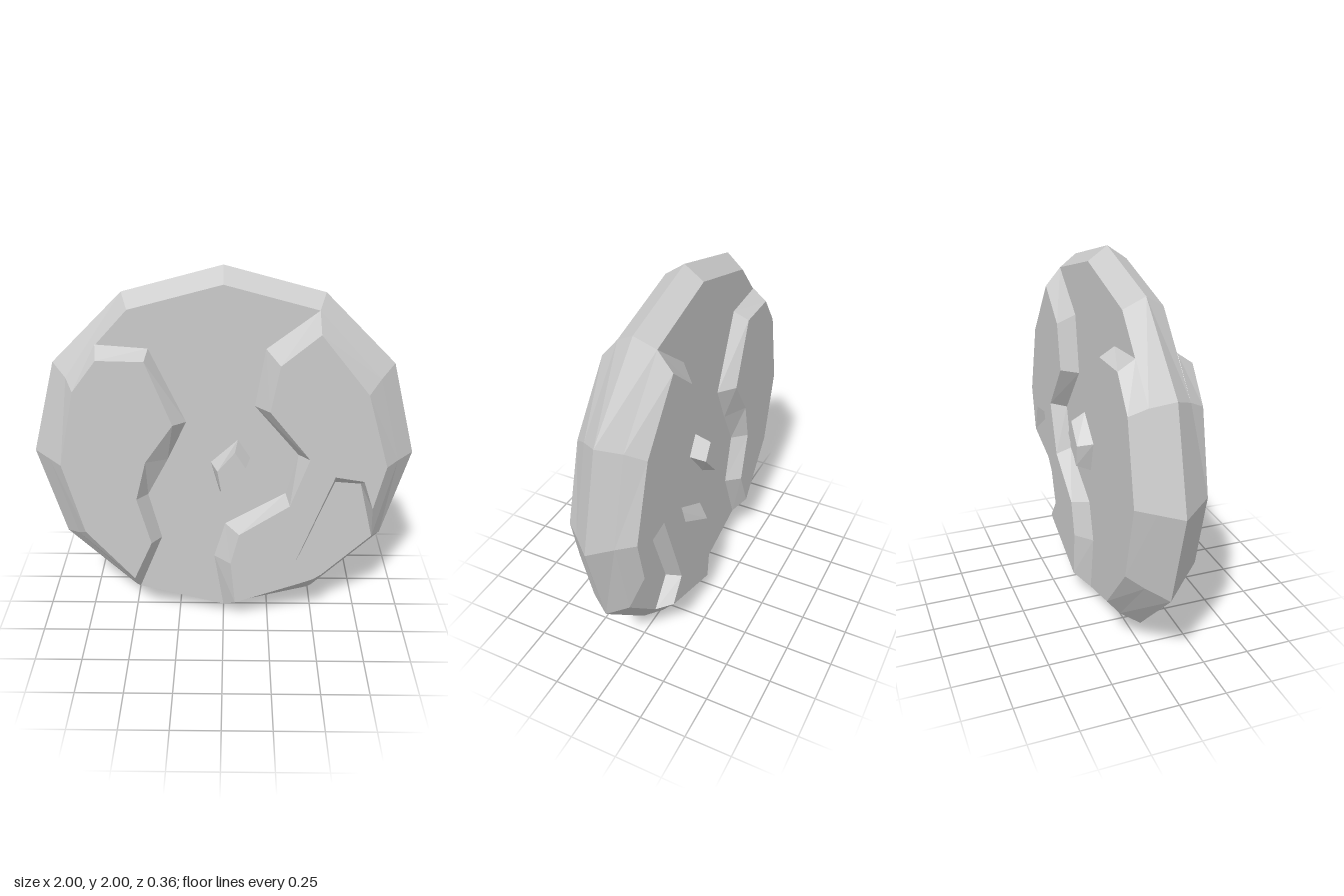
import * as THREE from 'three';

const SEA = 0.1, LAND = 0.18;
const material = new THREE.MeshStandardMaterial({ color: 0xcccccc, flatShading: true });

// Point on the twelve-sided rim: step k (30 degrees each), radius r
const rim = (k, r) => [r * Math.cos(k * Math.PI / 6), 1 + r * Math.sin(k * Math.PI / 6)];

// Slab with sloped sides between a low outline and a matching high outline
// (both counter-clockwise); side = -1 mirrors it to the back.
function slab(name, low, high, z0, z1, side) {
  const positions = [];
  const triangle = (a, b, c) => {
    for (const p of side > 0 ? [a, b, c] : [a, c, b]) positions.push(p[0], p[1], side * p[2]);
  };
  const n = low.length;
  const bottom = low.map(([x, y]) => [x, y, z0]);
  const top = high.map(([x, y]) => [x, y, z1]);
  for (let i = 0; i < n; i++) {
    const j = (i + 1) % n;
    triangle(bottom[i], bottom[j], top[j]);
    triangle(bottom[i], top[j], top[i]);
  }
  const contour = high.map(([x, y]) => new THREE.Vector2(x, y));
  for (const [a, b, c] of THREE.ShapeUtils.triangulateShape(contour, [])) triangle(top[a], top[b], top[c]);
  const geometry = new THREE.BufferGeometry();
  geometry.setAttribute('position', new THREE.Float32BufferAttribute(positions, 3));
  geometry.computeVertexNormals();
  const mesh = new THREE.Mesh(geometry, material);
  mesh.name = name;
  return mesh;
}

// Each entry pairs a low point with the high point above it
const leftLand = [
  [[-0.63, 1.63], [-0.62, 1.575]],
  [rim(5, 0.908), [-0.745, 1.41]],
  [rim(6, 0.908), [-0.835, 1.0]],
  [rim(7, 0.908), [-0.735, 0.6]],
  [rim(8, 0.93), [-0.485, 0.3]],
  [[-0.335, 0.52], [-0.385, 0.53]],
  [[-0.4, 0.79], [-0.455, 0.8]],
  [[-0.29, 1.0], [-0.4, 1.02]],
  [[-0.19, 1.215], [-0.255, 1.23]],
  [[-0.37, 1.61], [-0.385, 1.57]],
];

const rightLand = [
  // inner coast, downwards
  [rim(2, 0.93), [0.47, 1.71]],
  [[0.21, 1.61], [0.28, 1.55]],
  [[0.16, 1.305], [0.235, 1.305]],
  [[0.39, 1.03], [0.445, 1.04]],
  [[0.33, 0.8], [0.35, 0.765]],
  [[0.01, 0.61], [0.085, 0.585]],
  [[-0.05, 0.4], [0.04, 0.4]],
  [rim(9, 0.93), [0.065, 0.14]],
  [rim(10, 0.93), [0.42, 0.272]],
  // bay open to the rim
  [[0.545, 0.275], [0.49, 0.3]],
  [[0.425, 0.425], [0.395, 0.425]],
  [[0.59, 0.87], [0.58, 0.94]],
  [[0.725, 0.86], [0.73, 0.915]],
  [rim(11, 0.93), [0.785, 0.75]],
  // outer rim, upwards
  [rim(0, 0.908), [0.84, 1.0]],
  [rim(1, 0.908), [0.72, 1.4]],
];

const island = [
  [[0.075, 1.115], [0.06, 1.08]],
  [[-0.065, 0.985], [-0.03, 0.97]],
  [[-0.02, 0.815], [-0.01, 0.85]],
  [[0.14, 1.01], [0.115, 0.99]],
];

export function createModel() {
  const model = new THREE.Group();
  model.name = 'disc';

  // The sunken face is a little wider wherever it is not covered by land
  const steps = Array.from({ length: 12 }, (_, k) => k);
  const covered = [0, 1, 5, 6, 7];
  const outer = steps.map(k => rim(k, 1));
  const inner = steps.map(k => rim(k, covered.includes(k) ? 0.908 : 0.93));

  for (const side of [1, -1]) {
    const half = new THREE.Group();
    half.name = side > 0 ? 'frontHalf' : 'backHalf';
    half.add(slab('sunkenFace', outer, inner, 0, SEA, side));
    for (const [name, pairs] of Object.entries({ leftLand, rightLand, island })) {
      half.add(slab(name, pairs.map(p => p[0]), pairs.map(p => p[1]), SEA, LAND, side));
    }
    model.add(half);
  }
  return model;
}
